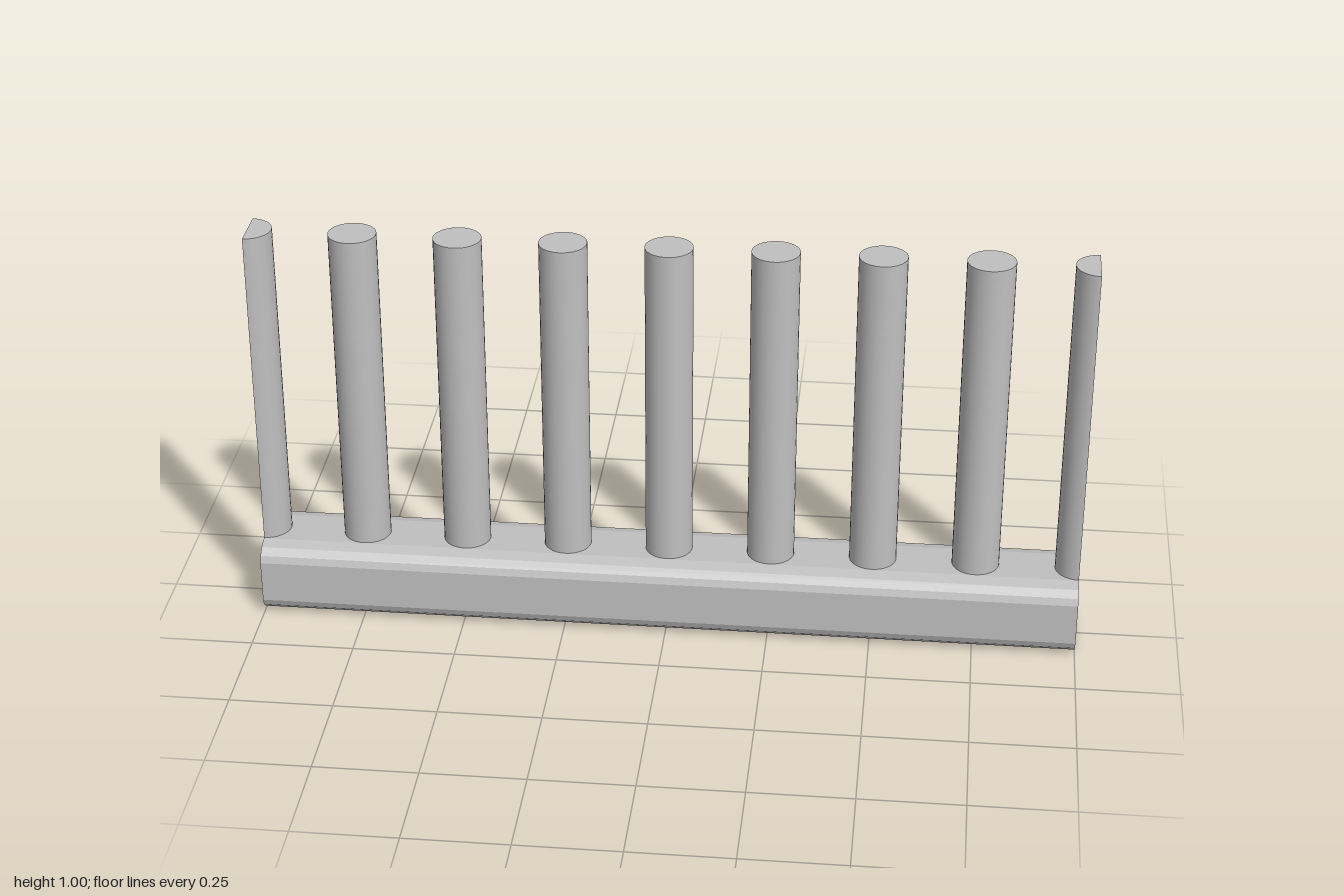
import * as THREE from 'three';

const HALF = 1, POST_R = 0.0575, POST_BOTTOM = 0.17, POST_TOP = 1;
const RAIL_Z = 0.114, RAIL_TOP = 0.186;

export function createModel() {
  const group = new THREE.Group();
  const grey = new THREE.MeshStandardMaterial({ color: 0xc0c0c0 });
  grey.name = 'grey';

  const add = (geometry, name, x, y, parent = group) => {
    const mesh = new THREE.Mesh(geometry, grey);
    mesh.name = name;
    mesh.position.set(x, y, 0);
    parent.add(mesh);
    return mesh;
  };

  // Bottom rail: faceted rounded bar, its section swept along x
  const quarter = [[0.114, 0.04], [0.107, 0.023], [0.09, 0.008], [0.06, 0]];
  const right = [
    ...quarter.slice().reverse(),
    ...quarter.map(([z, y]) => [z, RAIL_TOP - y]),
  ].map(([z, y]) => new THREE.Vector2(Math.min(z, RAIL_Z), y));
  const left = right.map((p) => new THREE.Vector2(-p.x, p.y)).reverse();
  const rail = new THREE.ExtrudeGeometry(new THREE.Shape([...right, ...left]), {
    depth: 2 * HALF, bevelEnabled: false,
  });
  rail.translate(0, 0, -HALF).rotateY(Math.PI / 2);
  add(rail, 'bottomRail', 0, 0);

  // Full round posts
  const height = POST_TOP - POST_BOTTOM;
  const midY = (POST_TOP + POST_BOTTOM) / 2;
  const post = new THREE.CylinderGeometry(POST_R, POST_R, height, 32);
  for (let i = -3; i <= 3; i++) add(post, `post${i + 4}`, i * 0.25, midY);

  // Half posts cut flush with the rail ends
  for (const side of [-1, 1]) {
    const end = new THREE.Group();
    end.name = side < 0 ? 'rightEndPost' : 'leftEndPost';
    const half = new THREE.CylinderGeometry(
      POST_R, POST_R, height, 16, 1, false, side < 0 ? 0 : Math.PI, Math.PI);
    add(half, 'halfPost', side * HALF, midY, end);
    const cut = new THREE.PlaneGeometry(2 * POST_R, POST_TOP - RAIL_TOP);
    cut.rotateY(side * Math.PI / 2);
    add(cut, 'cutFace', side * HALF, (POST_TOP + RAIL_TOP) / 2, end);
    group.add(end);
  }
  return group;
}
